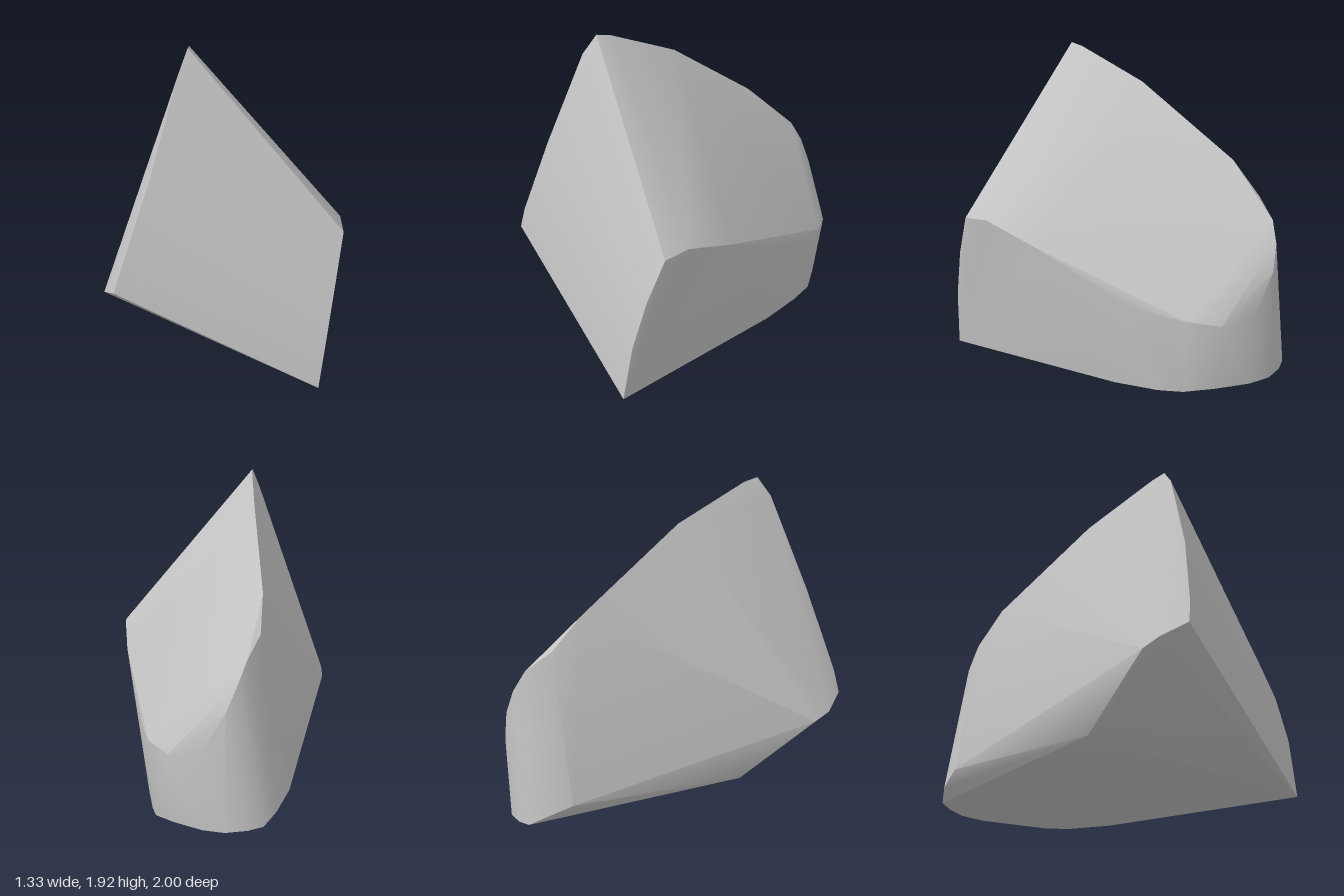
import * as THREE from 'three';
import { ConvexGeometry } from 'three/addons/geometries/ConvexGeometry.js';
import { toCreasedNormals } from 'three/addons/utils/BufferGeometryUtils.js';

// Sharp front face: peak, right corner, foot and nose, with the bowed edges between them
const frontRim = [
  [-0.2, 1.92, 0.58], [0.66, 0.91, 0.62], [0.635, 0.66, 0.725], [0.605, 0.36, 0.81],
  [0.57, 0.01, 0.86], [-0.56, 0.635, 1], [-0.52, 0.77, 0.98], [-0.375, 1.25, 0.85], [-0.235, 1.81, 0.655],
];

// Crest falling from the peak to the back
const crest = [
  [-0.21, 1.9, 0.49], [-0.29, 1.71, 0.04], [-0.425, 1.29, -0.58], [-0.44, 1.1, -0.77],
  [-0.39, 0.99, -0.91], [-0.35, 0.87, -0.97], [-0.29, 0.72, -1],
];

// Shoulder along the right side, curling round the back
const rightShoulder = [
  [0.63, 0.92, 0.46], [0.53, 0.8, 0.12], [0.31, 0.52, -0.46],
  [0.18, 0.48, -0.76], [0.04, 0.45, -0.9], [-0.16, 0.5, -0.985],
];

// Blunt left corner beside the nose
const leftCorner = [[-0.65, 0.56, 0.88], [-0.665, 0.52, 0.78]];

// Rim of the underside, from the right side round the back to the left
const base = [
  [0.29, 0, -0.3], [0.205, 0.01, -0.57], [0.15, 0.03, -0.72], [0.02, 0.05, -0.85],
  [-0.16, 0.06, -0.96], [-0.29, 0.07, -1], [-0.41, 0.085, -0.985], [-0.49, 0.1, -0.95],
  [-0.55, 0.16, -0.87], [-0.6, 0.23, -0.72], [-0.58, 0.19, 0.33],
];

export function createModel() {
  const stone = new THREE.MeshStandardMaterial({ color: 0xc4c4c4 });
  stone.name = 'grey stone';

  // Chipped boulder: one convex body with sharp main edges and softened curves
  const points = [frontRim, crest, rightShoulder, leftCorner, base].flat()
    .map(([x, y, z]) => new THREE.Vector3(x, y, z));
  const geometry = toCreasedNormals(new ConvexGeometry(points), THREE.MathUtils.degToRad(32));

  const boulder = new THREE.Mesh(geometry, stone);
  boulder.name = 'boulder';

  const group = new THREE.Group();
  group.name = 'rock';
  group.add(boulder);
  return group;
}
